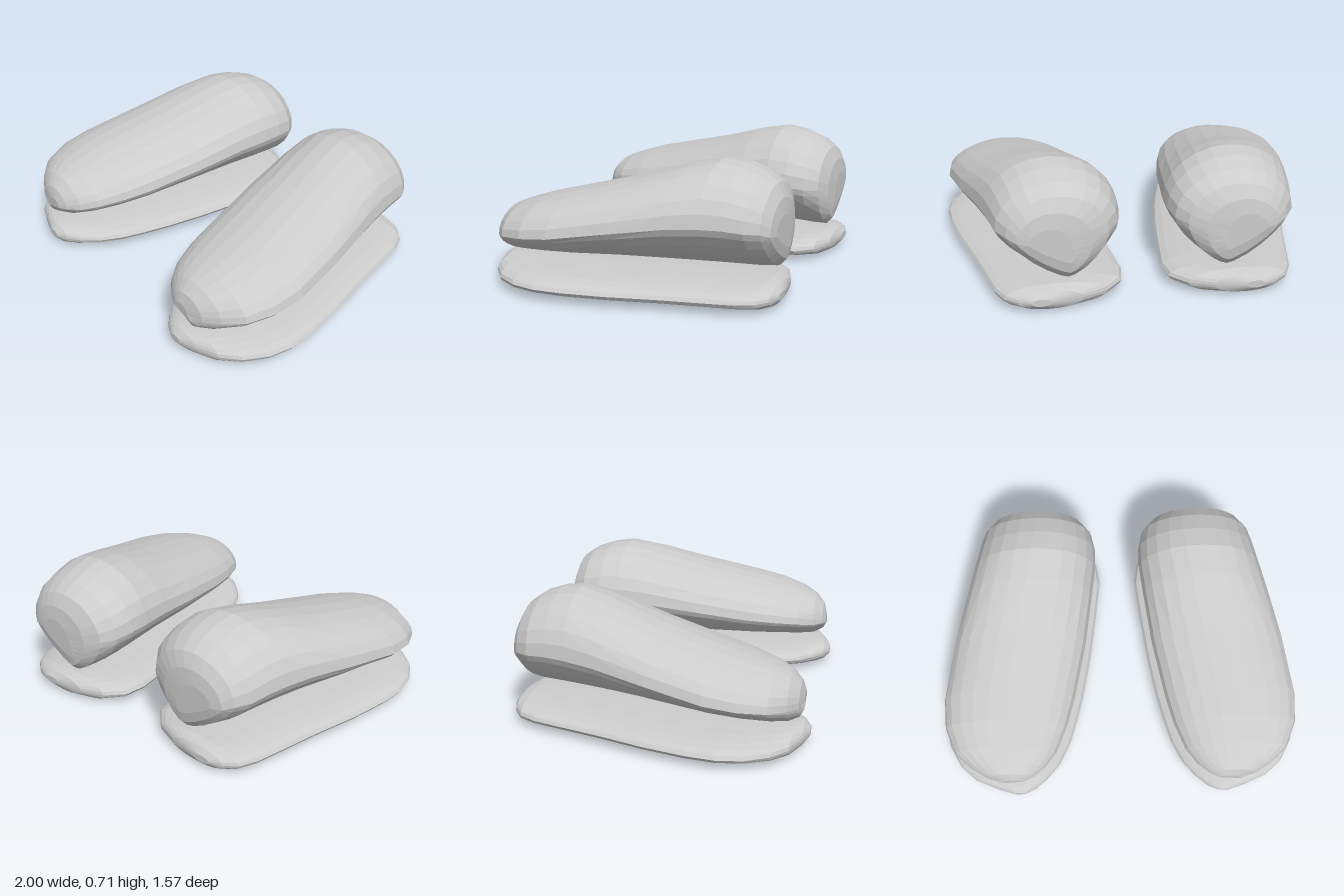
import * as THREE from 'three';

const SIDES = 24;

// Upper stations from heel to toe: z, inner x, outer x, widest y, top y, bottom y
const UPPER = [
  [-0.767, 0.40, 0.60, 0.38, 0.46, 0.27],
  [-0.755, 0.29, 0.66, 0.39, 0.54, 0.21],
  [-0.72, 0.20, 0.71, 0.41, 0.61, 0.17],
  [-0.65, 0.145, 0.76, 0.42, 0.66, 0.166],
  [-0.55, 0.125, 0.785, 0.43, 0.695, 0.166],
  [-0.44, 0.125, 0.81, 0.43, 0.71, 0.166],
  [-0.28, 0.145, 0.85, 0.42, 0.675, 0.165],
  [0.0, 0.185, 0.92, 0.38, 0.59, 0.162],
  [0.3, 0.25, 0.972, 0.33, 0.515, 0.157],
  [0.46, 0.295, 0.965, 0.31, 0.475, 0.155],
  [0.6, 0.355, 0.91, 0.29, 0.43, 0.153],
  [0.68, 0.42, 0.82, 0.27, 0.395, 0.155],
  [0.73, 0.49, 0.73, 0.26, 0.345, 0.18],
  [0.75, 0.54, 0.64, 0.25, 0.29, 0.22],
];

// Sole stations: z, inner x, outer x, half height
const SOLE = [
  [-0.785, 0.50, 0.60, 0.02],
  [-0.76, 0.34, 0.67, 0.05],
  [-0.71, 0.21, 0.735, 0.065],
  [-0.62, 0.125, 0.78, 0.065],
  [-0.5, 0.105, 0.81, 0.065],
  [-0.25, 0.135, 0.87, 0.065],
  [0.0, 0.17, 0.94, 0.065],
  [0.22, 0.212, 0.985, 0.065],
  [0.37, 0.25, 0.998, 0.065],
  [0.5, 0.29, 0.975, 0.065],
  [0.62, 0.35, 0.91, 0.065],
  [0.7, 0.42, 0.82, 0.063],
  [0.75, 0.48, 0.70, 0.05],
  [0.78, 0.54, 0.61, 0.02],
].map(([z, a, b, h]) => [z, a, b, 0.069, 0.069 + h, 0.069 - h]);

// Faceted loft through rounded sections; powers set how full each half is
function loft(stations, topPower, bottomPower, keelAt, side) {
  const pos = [], index = [];
  for (const [z, inner, outer, mid, top, bottom] of stations) {
    const cx = (inner + outer) / 2, rx = (outer - inner) / 2;
    for (let j = 0; j < SIDES; j++) {
      const a = (j / SIDES) * Math.PI * 2;
      const c = Math.cos(a), s = Math.sin(a);
      const p = 2 / (s >= 0 ? topPower : bottomPower);
      const u = Math.sign(c) * Math.abs(c) ** p;
      const v = Math.abs(s) ** p;
      const lean = s < 0 && keelAt ? (keelAt(z) - cx) * v : 0;
      const y = s >= 0 ? mid + (top - mid) * v : mid - (mid - bottom) * v;
      pos.push(side * (cx + rx * u + lean), y, z);
    }
  }
  const tri = (a, b, c) => (side > 0 ? index.push(a, b, c) : index.push(a, c, b));
  const last = stations.length - 1;
  for (let i = 0; i < last; i++) {
    for (let j = 0; j < SIDES; j++) {
      const k = (j + 1) % SIDES;
      const a = i * SIDES + j, b = i * SIDES + k;
      tri(a, b, a + SIDES);
      tri(b, b + SIDES, a + SIDES);
    }
  }
  // End caps
  [0, last].forEach((i) => {
    const [z, inner, outer, mid] = stations[i];
    const centre = pos.length / 3;
    pos.push(side * (inner + outer) / 2, mid, z);
    for (let j = 0; j < SIDES; j++) {
      const a = i * SIDES + j, b = i * SIDES + ((j + 1) % SIDES);
      if (i === 0) tri(centre, b, a);
      else tri(centre, a, b);
    }
  });
  const indexed = new THREE.BufferGeometry();
  indexed.setAttribute('position', new THREE.Float32BufferAttribute(pos, 3));
  indexed.setIndex(index);
  const geometry = indexed.toNonIndexed();
  geometry.computeVertexNormals();
  return geometry;
}

export function createModel() {
  const grey = new THREE.MeshStandardMaterial({ color: 0xcccccc });
  grey.name = 'light grey';
  const model = new THREE.Group();
  model.name = 'pairOfShoes';

  // The underside ridge runs from the inner heel to the outer toe
  const keel = (z) => 0.53 + 0.17 * z;

  for (const side of [1, -1]) {
    const shoe = new THREE.Group();
    shoe.name = side > 0 ? 'leftShoe' : 'rightShoe';

    const upper = new THREE.Mesh(loft(UPPER, 2, 1.4, keel, side), grey);
    upper.name = 'upper';

    const sole = new THREE.Mesh(loft(SOLE, 2.1, 2.1, null, side), grey);
    sole.name = 'sole';

    shoe.add(upper, sole);
    model.add(shoe);
  }
  return model;
}
